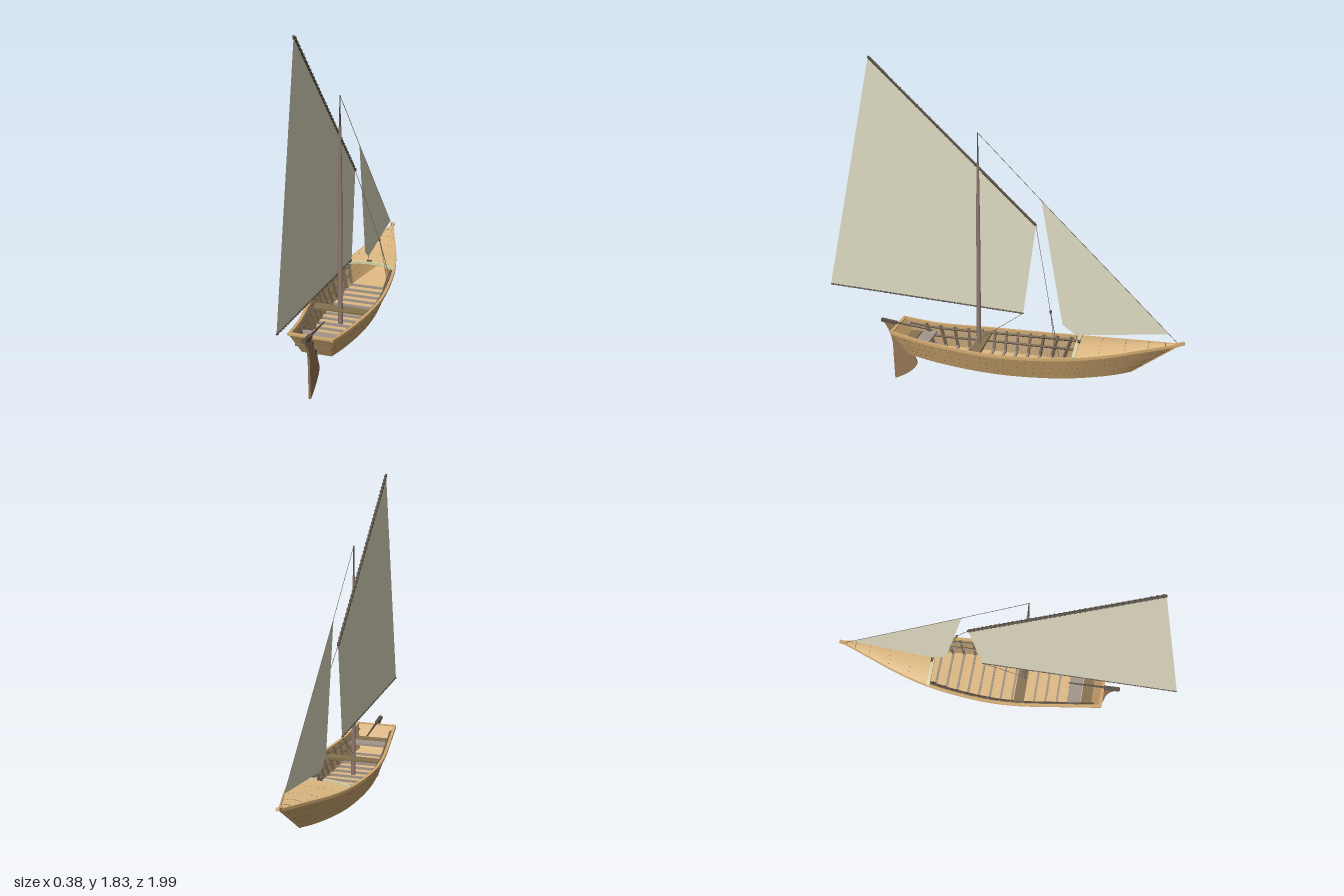
import * as THREE from 'three';
import { mergeGeometries } from 'three/addons/utils/BufferGeometryUtils.js';

const V = (x, y, z) => new THREE.Vector3(x, y, z);
const mat = (color, flatShading = false) =>
  new THREE.MeshStandardMaterial({ color, flatShading, side: THREE.DoubleSide });
const M = {
  hull: mat(0xd0a870), deck: mat(0xdfba83), inner: mat(0xa88a60, true), dark: mat(0x6f5f4b, true),
  thwart: mat(0x85724f, true), bench: mat(0xa39489, true), mast: mat(0x8f7870), spar: mat(0x5a4f45),
  sail: mat(0xddd9c0), rope: mat(0x6b665c), trim: mat(0xd8d0a4, true), rudder: mat(0x957455, true), nail: mat(0x4a4036),
};

// Hull lines, stern to bow: half width, height, z
const curve = (pts) => new THREE.CatmullRomCurve3(pts.map((p) => V(...p)));
const sheer = curve([[.117, .337, .6], [.14, .305, .4], [.18, .288, .1], [.187, .285, -.1], [.162, .296, -.4],
  [.12, .315, -.6], [.058, .343, -.8], [.016, .361, -.93], [.006, .368, -.97]]);
const chine = curve([[.08, .198, .51], [.106, .178, .35], [.135, .162, .1], [.138, .156, -.1], [.118, .159, -.35],
  [.086, .166, -.5], [.046, .176, -.63], [.016, .184, -.7], [.004, .187, -.72]]);
const side = (t, v) => chine.getPoint(t).lerp(sheer.getPoint(t), v);
const mir = (p, s) => V(p.x * s, p.y, p.z);

// Curve parameter at a given z
function tAt(c, z) {
  let a = 0, b = 1;
  for (let i = 0; i < 30; i++) {
    const m = (a + b) / 2;
    if (c.getPoint(m).z > z) a = m; else b = m;
  }
  return a;
}

// Grid surface from a function of u and v
function surface(fn, nu, nv) {
  const pos = [], idx = [];
  for (let i = 0; i <= nu; i++) for (let j = 0; j <= nv; j++) pos.push(...fn(i / nu, j / nv).toArray());
  for (let i = 0; i < nu; i++) for (let j = 0; j < nv; j++) {
    const a = i * (nv + 1) + j, b = a + nv + 1;
    idx.push(a, b, a + 1, b, b + 1, a + 1);
  }
  const g = new THREE.BufferGeometry();
  g.setAttribute('position', new THREE.Float32BufferAttribute(pos, 3));
  g.setIndex(idx);
  g.computeVertexNormals();
  return g;
}

// Box beam between two points, w across and h in height
function beam(a, b, w, h) {
  const o = new THREE.Object3D();
  o.position.copy(a).add(b).multiplyScalar(.5);
  o.lookAt(b);
  o.updateMatrix();
  return new THREE.BoxGeometry(w, h, a.distanceTo(b)).applyMatrix4(o.matrix);
}

// Round rod between two points
function rod(a, b, r0, r1 = r0, n = 8) {
  const o = new THREE.Object3D();
  o.position.copy(a).add(b).multiplyScalar(.5);
  o.quaternion.setFromUnitVectors(V(0, 1, 0), b.clone().sub(a).normalize());
  o.updateMatrix();
  return new THREE.CylinderGeometry(r1, r0, a.distanceTo(b), n).applyMatrix4(o.matrix);
}

// Lashing rings along a spar
function rings(a, b, r, count) {
  const list = [], q = new THREE.Quaternion().setFromUnitVectors(V(0, 0, 1), b.clone().sub(a).normalize());
  for (let i = 0; i < count; i++) {
    const p = a.clone().lerp(b, (i + .5) / count);
    list.push(new THREE.TorusGeometry(r, .0025, 4, 8).applyQuaternion(q).translate(p.x, p.y, p.z));
  }
  return mergeGeometries(list);
}

// Outline given as z, y pairs, standing in the centre plane
const outline = (pts) => new THREE.Shape(pts.map((p) => new THREE.Vector2(...p)));
const sheet = (pts, x) => new THREE.ShapeGeometry(outline(pts)).rotateY(-Math.PI / 2).translate(x, 0, 0);

export function createModel() {
  const root = new THREE.Group();
  const add = (name, geo, m) => {
    const mesh = new THREE.Mesh(Array.isArray(geo) ? mergeGeometries(geo) : geo, m);
    mesh.name = name;
    root.add(mesh);
  };

  // Planked shell: sides, flat bottom, inner lining and floor
  const both = (fn) => [fn(1), fn(-1)];
  add('hullSides', both((s) => surface((u, v) => mir(side(u, v), s), 40, 1)), M.hull);
  const bottom = (up, inset) => surface((u, v) => {
    const p = chine.getPoint(u);
    return V((p.x - inset) * (v * 2 - 1), p.y + up, p.z);
  }, 40, 1);
  add('hullBottom', bottom(0, 0), M.hull);
  add('floor', bottom(.01, 0), M.deck);
  const tDeck = tAt(sheer, -.43);
  add('innerLining', both((s) => surface((u, v) => {
    const p = side(u * tDeck, v);
    return V((p.x - .008) * s, p.y, p.z);
  }, 30, 1)), M.inner);

  // Transom with an inner face
  const transom = (dz) => surface((u, v) => {
    const p = side(0, v);
    return V(p.x * (u * 2 - 1), p.y, p.z + dz);
  }, 1, 1);
  add('transom', [transom(0), transom(-.014)], M.hull);
  add('transomCap', beam(V(-.117, .335, .593), V(.117, .335, .593), .018, .01), M.hull);

  // Gunwale rails, rectangular in section
  const corner = [[.004, .004], [-.012, .004], [-.012, -.01], [.004, -.01], [.004, .004]];
  add('gunwales', both((s) => surface((u, v) => {
    const p = sheer.getPoint(u), c = corner[Math.round(v * 4)];
    return V(Math.max(p.x + c[0], 0) * s, p.y + c[1], p.z);
  }, 40, 4)), mat(0xd0a870, true));

  // Stem and stem head
  add('stem', beam(V(0, .187, -.715), V(0, .366, -.965), .012, .012), M.hull);
  add('stemHead', beam(V(0, .352, -.92), V(0, .376, -.995), .018, .016), M.hull);

  // Crowned foredeck and its edge trim
  const deckPoint = (t, k) => {
    const p = sheer.getPoint(t);
    return V(p.x * k, p.y + .003 + .14 * p.x * (1 - k * k), p.z);
  };
  add('foredeck', surface((u, v) => deckPoint(tDeck + u * (1 - tDeck), v * 2 - 1), 20, 10), M.deck);
  const trim = [];
  for (let i = 0; i < 10; i++) trim.push(beam(deckPoint(tDeck, i / 5 - 1), deckPoint(tDeck, (i + 1) / 5 - 1), .018, .016));
  add('foredeckTrim', trim, M.trim);

  // Frames: floor timbers and side ribs
  const timbers = [], ribs = [];
  for (let i = 0; i < 13; i++) {
    const t = tAt(chine, -.4 + i * .067), c = side(t, .05);
    timbers.push(beam(V(-c.x, c.y + .01, c.z), V(c.x, c.y + .01, c.z), .012, .012));
    for (const s of [1, -1]) {
      const a = side(t, .06), b = side(t, .96);
      a.x -= .013; b.x -= .013;
      ribs.push(beam(mir(a, s), mir(b, s), .014, .014));
    }
  }
  add('floorTimbers', timbers, M.bench);
  add('sideRibs', ribs, M.dark);

  // Stringers along the inside
  add('stringers', [.5, .85].flatMap((h) => both((s) => surface((u, v) => {
    const p = side(.02 + u * (tDeck - .02), h + .05 * Math.sin(v * Math.PI * 2));
    return V((p.x - .016 + .008 * Math.cos(v * Math.PI * 2)) * s, p.y, p.z);
  }, 24, 4))), M.dark);

  // Cross seats, fitted to the sides
  const seat = (name, z0, z1, h, m) => {
    const x = Math.min(...[z0, z1].map((z) => side(Math.max(tAt(sheer, z + .02), 0), h).x)) - .006;
    const y = side(tAt(sheer, (z0 + z1) / 2), h).y;
    add(name, new THREE.BoxGeometry(x * 2, .012, z1 - z0).translate(0, y, (z0 + z1) / 2), m);
  };
  seat('mastThwart', .085, .145, .82, M.thwart);
  seat('sternBench', .4, .478, .62, M.bench);
  seat('sternSheets', .482, .565, .55, M.thwart);

  // Nail rows on the planking and foredeck
  const nails = [];
  const nail = (p) => nails.push(new THREE.SphereGeometry(.0026, 4, 3).translate(p.x, p.y, p.z));
  for (const v of [.25, .5, .75]) for (let i = 1; i < 48; i++) for (const s of [1, -1]) nail(mir(side(i / 49, v), s));
  for (let i = 1; i < 5; i++) for (let j = -3; j <= 3; j++) nail(deckPoint(tDeck + i * .08, j / 4));
  add('nails', nails, M.nail);

  // Mast in two tapers
  add('mast', [rod(V(0, .165, .122), V(0, .95, .122), .013, .011, 12), rod(V(0, .95, .122), V(0, 1.29, .122), .011, .007, 12)], M.mast);
  add('topmast', rod(V(0, 1.28, .122), V(0, 1.45, .122), .005, .003), M.spar);

  // Main sail with yard and foot spar
  const sx = -.014;
  const peak = V(sx, 1.825, .715), throat = V(sx, .965, -.19), tack = V(sx, .462, -.125), clew = V(sx, .543, .995);
  add('mainSail', sheet([peak, throat, tack, clew].map((p) => [p.z, p.y]), sx), M.sail);
  add('yard', rod(throat, peak, .007), M.spar);
  add('yardLashings', rings(throat, peak, .008, 40), M.rope);
  add('footSpar', rod(tack, clew, .004), M.spar);
  add('footLashings', rings(tack, clew, .0045, 36), M.rope);

  // Jib
  add('jib', sheet([[-.22, 1.105], [-.912, .42], [-.42, .367], [-.345, .42]], 0), M.sail);

  // Standing and running ropes, with a block
  const line = (a, b, r = .0014) => rod(V(...a), V(...b), r, r, 5);
  add('forestay', [line([0, 1.45, .122], [0, 1.105, -.22]), line([0, 1.105, -.22], [0, .42, -.912]), line([0, .42, -.912], [0, .37, -.96])], M.rope);
  add('halyard', [line([sx, .965, -.19], [.1, .53, -.295]), line([.1, .53, -.295], [.142, .3, -.35], .002), line([.1, .53, -.295], [.135, .3, -.33])], M.rope);
  add('halyardBlock', new THREE.SphereGeometry(.009, 8, 6).scale(.8, 1.2, .8).translate(.1, .53, -.295), M.spar);
  add('sheets', [line([sx, .462, -.125], [0, .3, .11]), line([0, .367, -.42], [0, .32, -.44])], M.rope);
  add('deckCleat', new THREE.BoxGeometry(.03, .014, .014).translate(0, .328, -.435), M.spar);

  // Rudder with curved blade, and tiller
  const blade = new THREE.Shape();
  blade.moveTo(.69, .36);
  blade.quadraticCurveTo(.622, .29, .626, .17);
  blade.lineTo(.62, .003);
  blade.bezierCurveTo(.56, .03, .49, .07, .487, .11);
  blade.bezierCurveTo(.487, .14, .515, .16, .515, .2);
  blade.lineTo(.605, .335);
  blade.lineTo(.62, .355);
  const bladeGeo = new THREE.ExtrudeGeometry(blade, { depth: .012, bevelEnabled: false, curveSegments: 8 });
  add('rudder', bladeGeo.rotateY(-Math.PI / 2).translate(.006, 0, 0), M.rudder);
  add('rudderHead', beam(V(0, .344, .6), V(0, .357, .692), .022, .016), M.spar);
  add('tiller', rod(V(0, .355, .66), V(0, .32, .39), .007, .004), M.spar);
  add('hinges', [.25, .75].map((v) => {
    const p = side(0, v);
    return beam(V(0, p.y, p.z - .005), V(0, p.y, p.z + .03), .02, .012);
  }), M.spar);

  return root;
}
